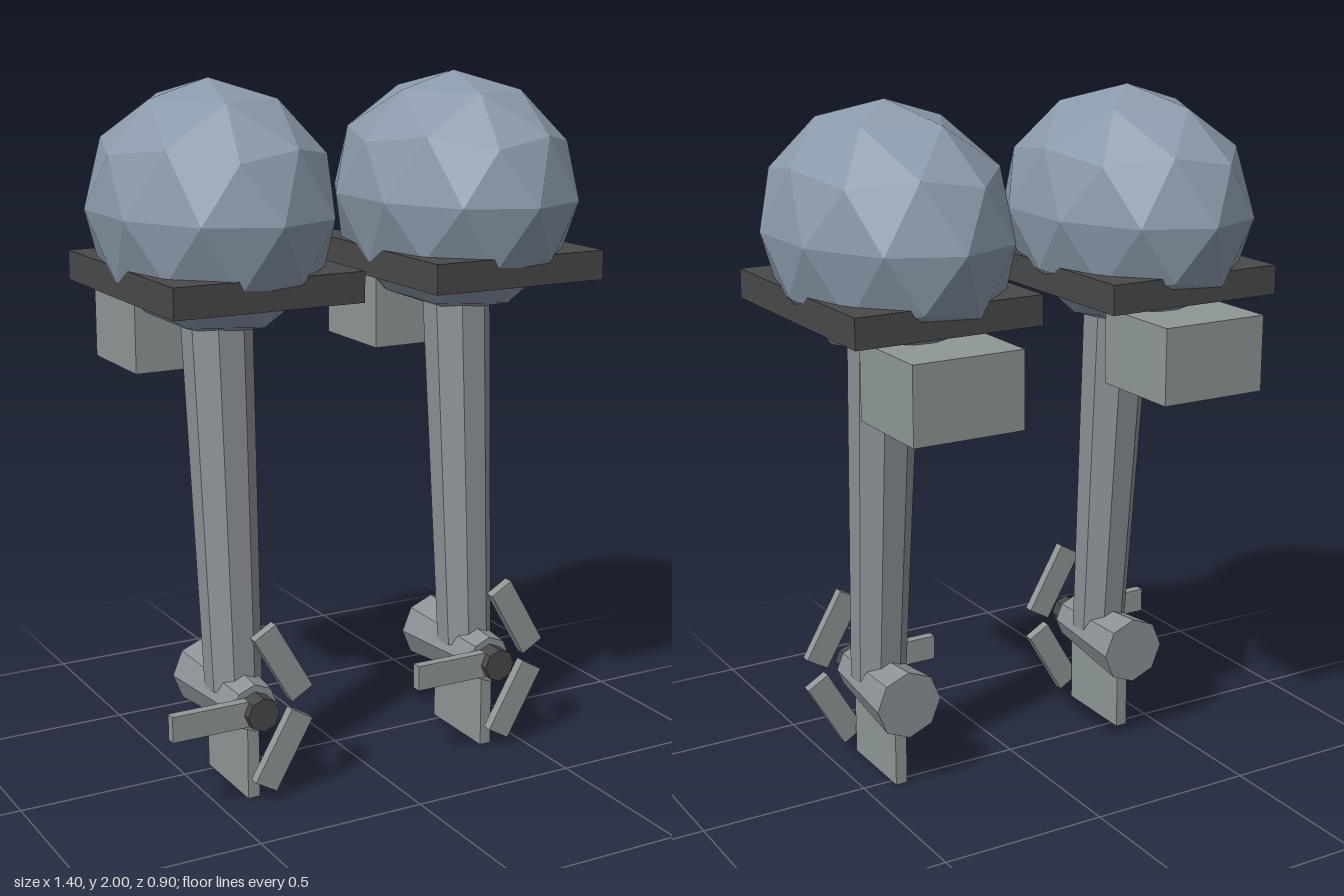
import * as THREE from 'three';

const mat = (color) => new THREE.MeshStandardMaterial({ color, flatShading: true });

export function createModel() {
  const cowlMat = mat(0x8b9aab);
  const darkMat = mat(0x48494b);
  const legMat = mat(0x8d9297);
  const metalMat = mat(0x8f9797);

  function add(parent, name, geometry, material, x, y, z) {
    const mesh = new THREE.Mesh(geometry, material);
    mesh.name = name;
    mesh.position.set(x, y, z);
    parent.add(mesh);
    return mesh;
  }

  function createMotor() {
    const motor = new THREE.Group();

    // faceted cowl: icosphere turned so a vertex is the pole, then stretched
    const cowl = new THREE.IcosahedronGeometry(1, 1);
    cowl.rotateX(-Math.atan2((1 + Math.sqrt(5)) / 2, 1));
    cowl.rotateY(-Math.PI / 2);
    cowl.scale(0.328, 0.352, 0.45);
    add(motor, 'cowl', cowl, cowlMat, 0, 1.648, 0);

    // base tray and rear clamp
    add(motor, 'tray', new THREE.BoxGeometry(0.555, 0.085, 0.735), darkMat, 0, 1.4625, 0.005);
    add(motor, 'clamp', new THREE.BoxGeometry(0.33, 0.22, 0.3), metalMat, 0, 1.28, -0.305);

    // tapered leg, leaning back toward the top
    const leg = new THREE.CylinderGeometry(0.102, 0.082, 1.15, 8);
    leg.rotateY(Math.PI / 8);
    add(motor, 'leg', leg, legMat, 0, 0.87, 0.067).rotation.x = -0.072;

    // gearcase, wider at the back, with a fin below
    const gearcase = new THREE.CylinderGeometry(0.07, 0.102, 0.335, 8);
    gearcase.rotateX(Math.PI / 2);
    add(motor, 'gearcase', gearcase, legMat, 0, 0.275, 0.08);
    add(motor, 'skeg', new THREE.BoxGeometry(0.036, 0.21, 0.265), metalMat, 0, 0.105, 0.1025);

    // propeller
    const propeller = new THREE.Group();
    propeller.name = 'propeller';
    propeller.position.set(0, 0.275, 0.265);
    motor.add(propeller);
    const hub = new THREE.CylinderGeometry(0.049, 0.049, 0.08, 8);
    hub.rotateX(Math.PI / 2);
    add(propeller, 'hub', hub, darkMat, 0, 0, 0);
    for (let i = 0; i < 3; i++) {
      const a = Math.PI / 3 + i * Math.PI * 2 / 3;
      const blade = add(propeller, 'blade', new THREE.BoxGeometry(0.23, 0.075, 0.03), metalMat,
        0.15 * Math.cos(a), 0.15 * Math.sin(a), 0);
      blade.rotation.z = -a; // blades are canted against their spokes
    }
    return motor;
  }

  const group = new THREE.Group();
  for (const [name, x] of [['leftMotor', 0.39], ['rightMotor', -0.39]]) {
    const motor = createMotor();
    motor.name = name;
    motor.position.x = x;
    group.add(motor);
  }
  return group;
}
